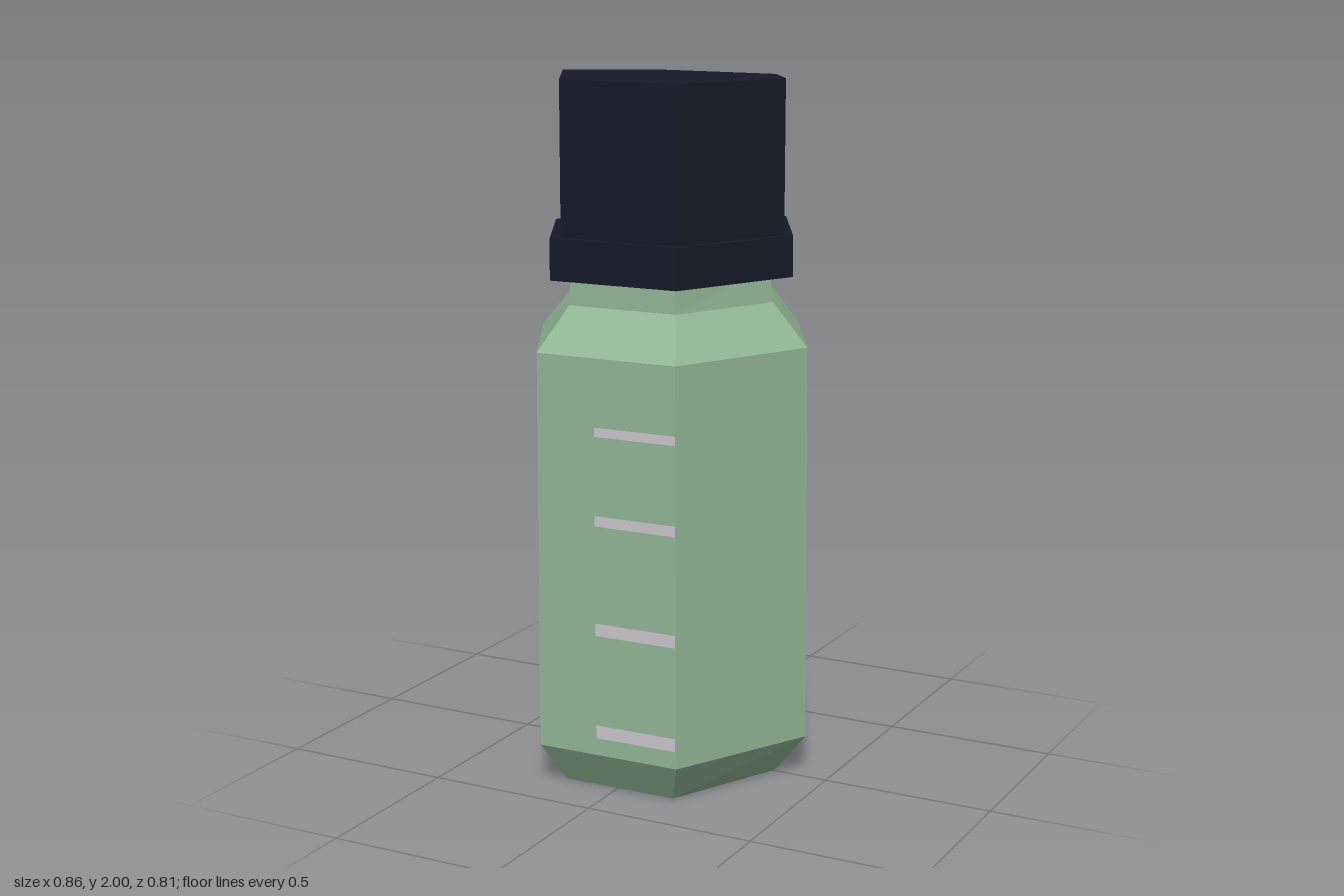
import * as THREE from 'three';

const glass = new THREE.MeshStandardMaterial({ color: 0x92b696, flatShading: true });
const dark = new THREE.MeshStandardMaterial({ color: 0x151a28, flatShading: true });
const pale = new THREE.MeshStandardMaterial({ color: 0xccc6cc, side: THREE.DoubleSide });

// Six corners of a ring: rx = corner radius along x, hx = half width of the
// front and back edges, zf / zb = front and back depth, yb = height at the back.
function ring(y, rx, hx, zf, zb = zf, yb = y) {
  return [
    [rx, y, 0], [hx, yb, -zb], [-hx, yb, -zb],
    [-rx, y, 0], [-hx, y, zf], [hx, y, zf],
  ];
}

// Closed faceted solid through a stack of rings, listed from bottom to top.
function loft(name, rings, material) {
  const pos = [];
  const tri = (a, b, c) => pos.push(...a, ...b, ...c);
  for (let k = 0; k < rings.length - 1; k++) {
    const lo = rings[k], hi = rings[k + 1];
    for (let i = 0; i < 6; i++) {
      const j = (i + 1) % 6;
      tri(lo[i], lo[j], hi[j]);
      tri(lo[i], hi[j], hi[i]);
    }
  }
  const bottom = rings[0], top = rings[rings.length - 1];
  const cb = [0, bottom[0][1], 0], ct = [0, top[0][1], 0];
  for (let i = 0; i < 6; i++) {
    const j = (i + 1) % 6;
    tri(cb, bottom[j], bottom[i]);
    tri(ct, top[i], top[j]);
  }
  const geo = new THREE.BufferGeometry();
  geo.setAttribute('position', new THREE.Float32BufferAttribute(pos, 3));
  geo.computeVertexNormals();
  const mesh = new THREE.Mesh(geo, material);
  mesh.name = name;
  return mesh;
}

export function createModel() {
  const bottle = new THREE.Group();
  bottle.name = 'bottle';

  // Hexagonal glass body with bevelled base, sloped shoulder and short neck
  bottle.add(loft('body', [
    ring(0, 0.335, 0.17, 0.33, 0.3),
    ring(0.12, 0.432, 0.217, 0.402, 0.402, 0.126),
    ring(1.26, 0.422, 0.213, 0.402),
    ring(1.38, 0.316, 0.165, 0.302),
    ring(1.48, 0.305, 0.16, 0.3),
  ], glass));

  // Collar ring under the cap
  bottle.add(loft('capCollar', [
    ring(1.455, 0.375, 0.194, 0.357),
    ring(1.57, 0.375, 0.194, 0.357),
  ], dark));

  // Cap, its top dipping slightly at the back
  bottle.add(loft('cap', [
    ring(1.56, 0.348, 0.182, 0.316, 0.303),
    ring(2.0, 0.348, 0.182, 0.316, 0.303, 1.985),
  ], dark));

  // Measuring marks on the front face, thicker towards the base
  const marks = new THREE.Group();
  marks.name = 'measuringMarks';
  [[0.19, 0.038], [0.49, 0.036], [0.803, 0.03], [1.055, 0.026]].forEach(([y, h]) => {
    const mark = new THREE.Mesh(new THREE.PlaneGeometry(0.248, h), pale);
    mark.name = 'measuringMark';
    mark.position.set(0.09, y, 0.404);
    marks.add(mark);
  });
  bottle.add(marks);

  // Slight twist about the vertical axis
  bottle.rotation.y = 0.015;
  const model = new THREE.Group();
  model.name = 'hexagonalBottle';
  model.add(bottle);
  return model;
}
